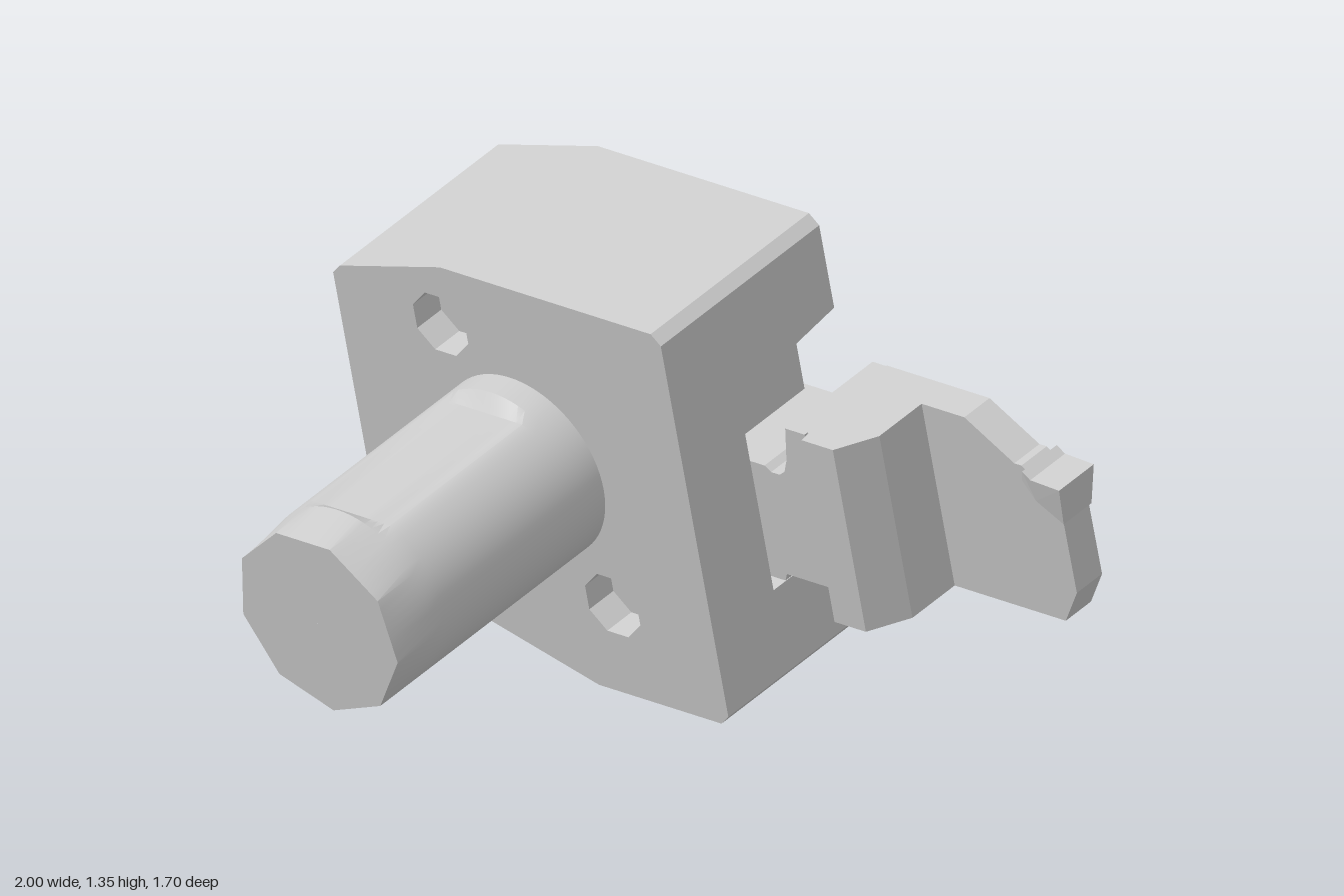
import * as THREE from 'three';
import { toCreasedNormals } from 'three/addons/utils/BufferGeometryUtils.js';

const material = new THREE.MeshStandardMaterial({ color: 0xcccccc });
const vec = (pts) => pts.map(([x, y]) => new THREE.Vector2(x, y));

export function createModel() {
  const model = new THREE.Group();
  // The whole tool leans forward about x; inside it, +z is the shank axis.
  const tool = new THREE.Group();
  tool.name = 'toolHolder';
  tool.position.set(0, 0, -0.205);
  tool.rotation.x = 0.236;
  model.add(tool);

  const add = (name, geometry) => {
    const mesh = new THREE.Mesh(geometry, material);
    mesh.name = name;
    tool.add(mesh);
    return mesh;
  };
  // Plate with an outline in x, y reaching from z0 to z1
  const plate = (pts, z0, z1, holes = [], steps = 1) => {
    const shape = new THREE.Shape(vec(pts));
    shape.holes = holes.map((h) => new THREE.Path(vec(h)));
    const g = new THREE.ExtrudeGeometry(shape, { depth: z1 - z0, bevelEnabled: false, steps });
    return g.translate(0, 0, z0);
  };
  const octagon = (cx, cy, r) => Array.from({ length: 8 }, (_, i) => {
    const a = (i + 0.5) * Math.PI / 4;
    return [cx + r * Math.cos(a), cy + r * Math.sin(a)];
  });

  // Block: drilled front layer, solid core, and two lips around the slot
  const BACK = -0.66, FLOOR = -0.25, DRILL = -0.1;
  const outline = [[-1, 0.215], [-0.97, 0.19], [-0.29, 0], [0.14, 0], [0.17, 0.03],
    [0.17, 1.2], [0.14, 1.23], [-0.6, 1.23], [-0.97, 1.13], [-1, 1.1]];
  add('blockFront', plate(outline, DRILL, 0, [octagon(-0.635, 1.04, 0.097), octagon(-0.185, 0.28, 0.097)]));
  add('blockCore', plate(outline, FLOOR, DRILL));
  add('lowerLip', plate([...outline.slice(0, 5), [0.17, 0.285], [-1, 0.285]], BACK, FLOOR));

  // Upper lip: its underside slopes and rounds into the slot floor
  const upper = plate([[-1, 0.94], [0.17, 0.94], ...outline.slice(5)], BACK, FLOOR, [], 14);
  const p = upper.attributes.position;
  for (let i = 0; i < p.count; i++) {
    if (p.getY(i) > 0.945) continue;
    const t = (p.getZ(i) - BACK) / (FLOOR - BACK);
    const round = Math.max(0, (t - 0.8) / 0.2);
    p.setY(i, 0.94 - 0.05 * t - 0.08 * (1 - Math.sqrt(1 - Math.min(1, round * round))));
  }
  upper.computeVertexNormals();
  add('upperLip', upper);

  // Shank: round bar with a milled flat above and below, nine-sided at its end
  const R = 0.275, END = 0.865;
  const rings = [[0.001, -0.02], [R, -0.02], [R, 0.08], [R, 0.12], [R, 0.67], [R, 0.72], [R, END], [0.001, END]];
  const shank = new THREE.LatheGeometry(vec(rings), 72).rotateX(Math.PI / 2);
  const s = shank.attributes.position;
  for (let i = 0; i < s.count; i++) {
    const x = s.getX(i), y = s.getY(i), z = s.getZ(i);
    if (z > 0.11 && z < 0.68) s.setY(i, THREE.MathUtils.clamp(y, -0.235, 0.235));
    if (z > END - 0.01) {
      const side = Math.PI * 2 / 9;
      const a = (Math.atan2(y, x) + Math.PI / 2 + Math.PI * 2) % side;
      const k = Math.cos(side / 2) / Math.cos(a - side / 2);
      s.setXYZ(i, x * k, y * k, z);
    }
  }
  add('shank', toCreasedNormals(shank, 0.45)).position.set(-0.415, 0.66, 0);

  // Arm lying in the slot, with a rounded relief groove beside the block
  add('arm', plate([[-0.85, 0.287], [0.17, 0.287], [0.18, 0.31], [0.34, 0.31], [0.34, 0.796],
    [0.272, 0.796], [0.255, 0.69], [0.24, 0.65], [0.22, 0.635], [0.19, 0.635], [0.17, 0.65],
    [-0.85, 0.65]], -0.664, -0.3));

  // Clamping wedge between the arm and the upper lip
  add('wedge', plate([[-0.85, 0.65], [0.02, 0.65], [0.02, 0.925], [-0.85, 0.925]], -0.645, -0.32));

  // Head: upright rib with chamfered front corners
  const head = plate([[0.32, 0.66], [0.32, 0.32], [0.345, 0.31], [0.35, 0.275], [0.46, 0.275],
    [0.53, 0.386], [0.53, 0.66]].reverse(), 0.222, 0.796);
  add('head', head.rotateX(-Math.PI / 2));

  // Blade carrying the cutting insert
  add('blade', plate([[0.32, 0.222], [0.92, 0.222], [0.98, 0.327], [0.978, 0.6], [0.9, 0.62],
    [0.885, 0.675], [0.86, 0.695], [0.835, 0.695], [0.68, 0.796], [0.32, 0.796]], -0.667, -0.562));

  // Insert: wide at its cutting edge and tapering downwards
  const insert = plate([[0.9, 0.6], [0.98, 0.545], [1, 0.665], [0.9, 0.67], [0.875, 0.69], [0.87, 0.66]], -0.69, -0.545);
  const q = insert.attributes.position;
  for (let i = 0; i < q.count; i++) {
    const t = THREE.MathUtils.clamp((0.66 - q.getY(i)) / 0.115, 0, 1);
    q.setZ(i, -0.617 + (q.getZ(i) + 0.617) * (1 - 0.2 * t));
  }
  insert.computeVertexNormals();
  add('cuttingInsert', insert);

  return model;
}
